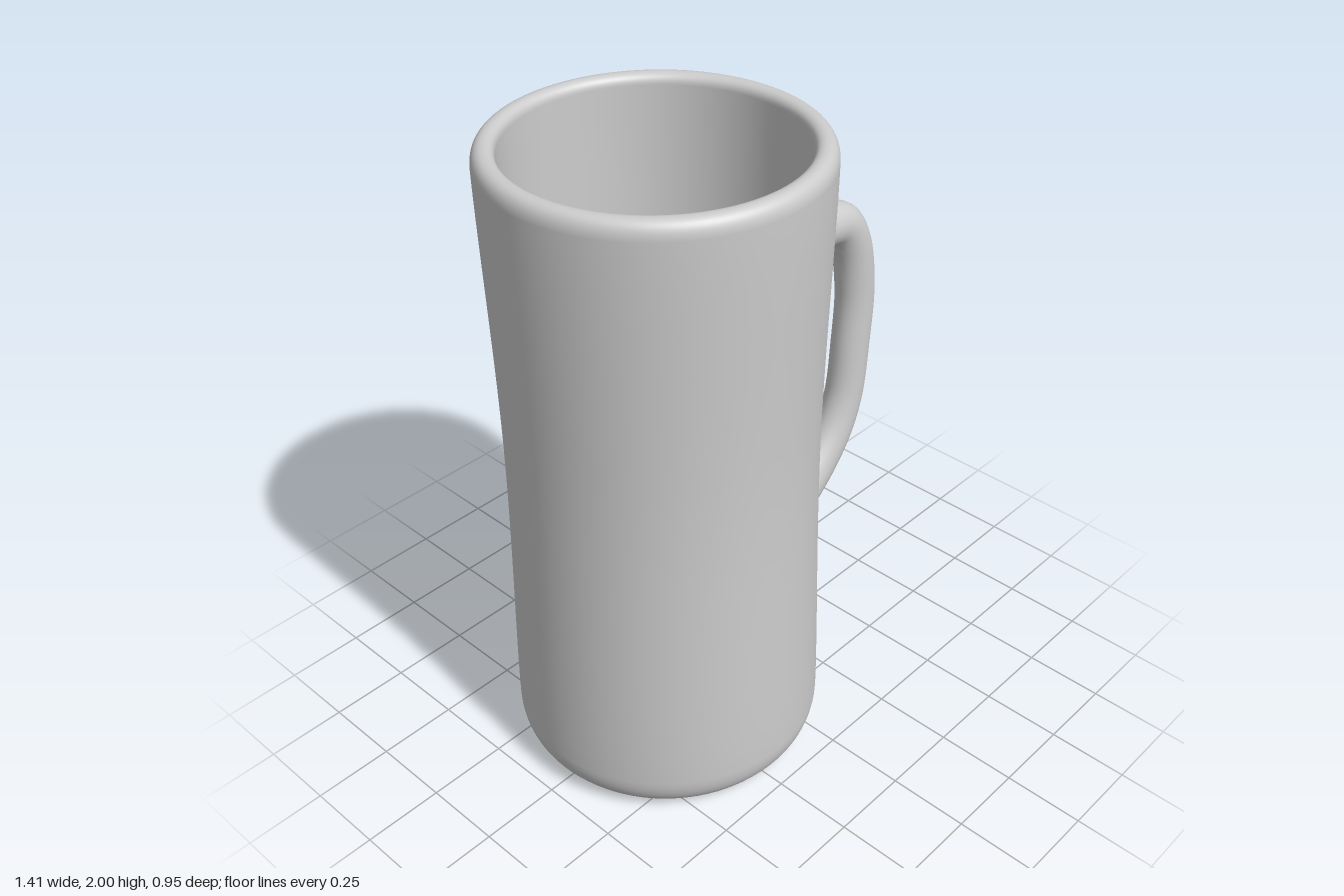
import * as THREE from 'three';

const material = new THREE.MeshStandardMaterial({ color: 0xcccccc });
const CUP_X = -0.235;

// Waisted body, rounded rim, inner wall and floor as one closed lathe profile
function createCup() {
  const p = new THREE.Path();
  p.moveTo(0, 0);
  p.lineTo(0.34, 0);
  p.lineTo(0.36, 0);
  p.bezierCurveTo(0.43, 0, 0.473, 0.05, 0.473, 0.13); // rounded foot
  p.bezierCurveTo(0.473, 0.35, 0.454, 0.75, 0.455, 1.1); // waist
  p.bezierCurveTo(0.456, 1.4, 0.472, 1.75, 0.473, 1.95);
  p.bezierCurveTo(0.473, 1.98, 0.46, 2, 0.437, 2); // lip
  p.bezierCurveTo(0.42, 2, 0.408, 1.99, 0.408, 1.97);
  p.bezierCurveTo(0.406, 1.7, 0.398, 1.4, 0.398, 1.1); // inner wall
  p.bezierCurveTo(0.398, 0.8, 0.408, 0.5, 0.408, 0.22);
  p.bezierCurveTo(0.408, 0.15, 0.38, 0.11, 0.32, 0.11);
  p.lineTo(0.3, 0.11);
  p.lineTo(0, 0.11);
  const cup = new THREE.Mesh(new THREE.LatheGeometry(p.getPoints(10), 96), material);
  cup.name = 'cup';
  cup.position.x = CUP_X;
  return cup;
}

// Handle: a tube that is thicker where it meets the cup and slightly flattened
function createHandle() {
  const path = new THREE.CatmullRomCurve3([
    [0.19, 1.496], [0.3, 1.491], [0.44, 1.484], [0.54, 1.457], [0.597, 1.375],
    [0.633, 1.2], [0.626, 1], [0.603, 0.8], [0.545, 0.67], [0.43, 0.548],
    [0.33, 0.489], [0.19, 0.475],
  ].map(([x, y]) => new THREE.Vector3(x, y, 0)), false, 'centripetal');
  const rings = 80, sides = 24;
  const geometry = new THREE.TubeGeometry(path, rings, 1, sides, false);
  const pos = geometry.attributes.position, normal = geometry.attributes.normal;
  for (let i = 0; i <= rings; i++) {
    const t = i / rings;
    const c = path.getPointAt(t);
    const flare = Math.abs(2 * t - 1) ** 3;
    const inPlane = 0.068 + 0.01 * flare;
    const width = 0.06 + 0.021 * flare;
    for (let j = 0; j <= sides; j++) {
      const k = i * (sides + 1) + j;
      const nx = normal.getX(k), ny = normal.getY(k), nz = normal.getZ(k);
      pos.setXYZ(k, c.x + nx * inPlane, c.y + ny * inPlane, nz * width);
      const n = new THREE.Vector3(nx / inPlane, ny / inPlane, nz / width).normalize();
      normal.setXYZ(k, n.x, n.y, n.z);
    }
  }
  const handle = new THREE.Mesh(geometry, material);
  handle.name = 'handle';
  return handle;
}

export function createModel() {
  const mug = new THREE.Group();
  mug.name = 'mug';
  mug.add(createCup(), createHandle());
  return mug;
}
